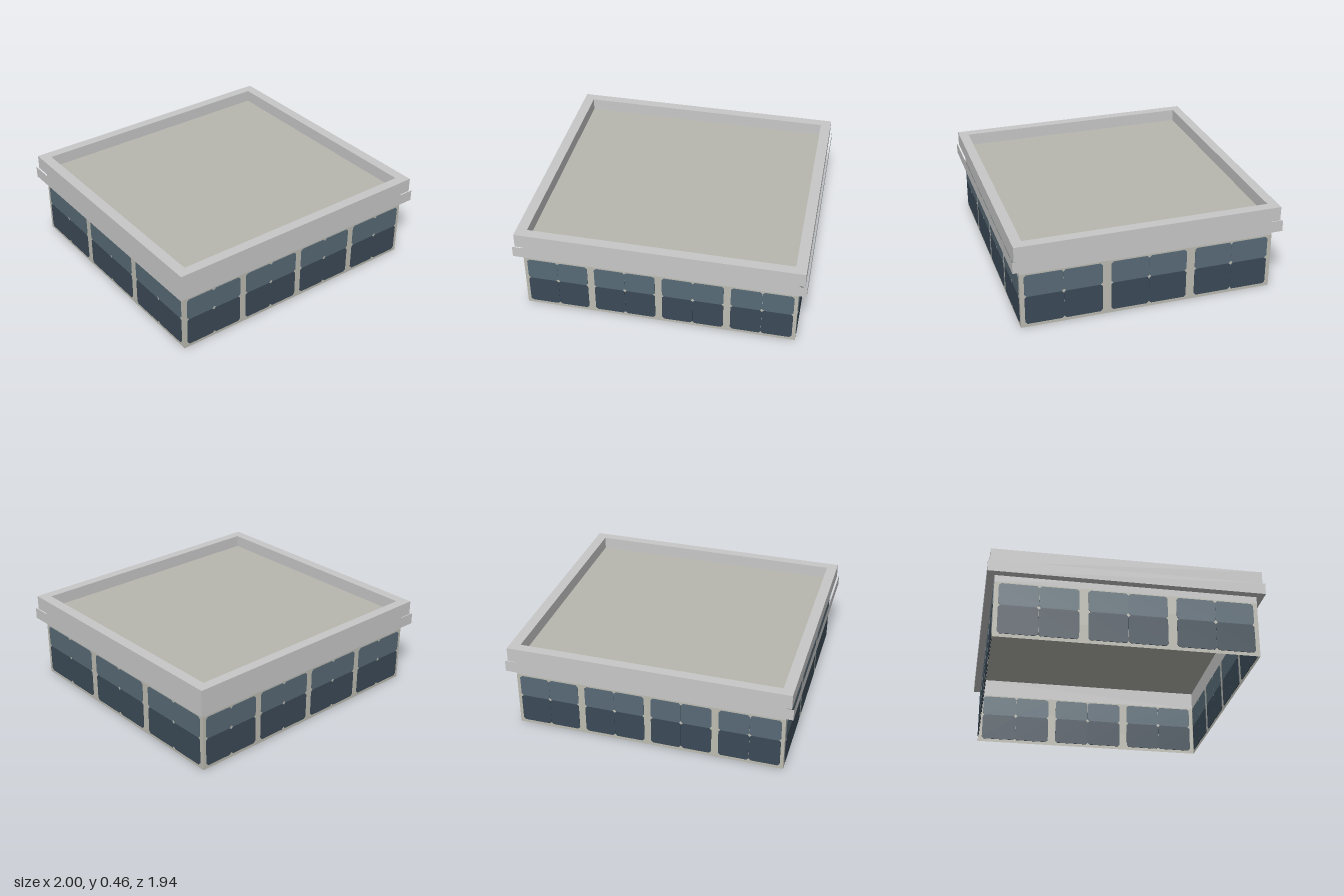
import * as THREE from 'three';

const mat = (name, color, side = THREE.FrontSide) => {
  const m = new THREE.MeshStandardMaterial({ color, side });
  m.name = name;
  return m;
};

// Slightly skewed footprint of the parapet, anticlockwise from above, as [x, z]
const CORNERS = [[-0.26, 0.958], [0.985, 0.2], [0.26, -0.958], [-0.985, -0.2]];
const WALL = 0.96, CORNICE = 1.015, INNER = 0.925; // footprint scales

export function createModel() {
  const concrete = mat('concrete', 0xc8c8c8);
  const concreteWall = mat('concrete wall', 0xc8c8c8, THREE.DoubleSide);
  const frame = mat('window frame', 0xbcbcb2, THREE.DoubleSide);
  const roofing = mat('roofing', 0xb8b8b0, THREE.DoubleSide);
  const upperGlass = mat('upper glass', 0x586a76);
  const lowerGlass = mat('lower glass', 0x3b4a57);

  const building = new THREE.Group();
  building.name = 'building';

  const add = (parent, name, geometry, material) => {
    const mesh = new THREE.Mesh(geometry, material);
    mesh.name = name;
    parent.add(mesh);
    return mesh;
  };

  const flat = (points) => {
    const g = new THREE.BufferGeometry();
    g.setAttribute('position', new THREE.Float32BufferAttribute(points.flat(), 3));
    g.computeVertexNormals();
    return g;
  };

  const at = (i, scale, y) => {
    const [x, z] = CORNERS[i % 4];
    return [x * scale, y, z * scale];
  };

  // Four-sided strips that follow a profile of [scale, height] points
  const band = (name, profile, material) => {
    const pts = [];
    for (let k = 0; k < profile.length - 1; k++) {
      for (let i = 0; i < 4; i++) {
        const a = at(i, ...profile[k]), b = at(i + 1, ...profile[k]);
        const c = at(i + 1, ...profile[k + 1]), d = at(i, ...profile[k + 1]);
        pts.push(a, b, c, a, c, d);
      }
    }
    add(building, name, flat(pts), material);
  };

  // Walls, cornice with soffit, and hollow parapet
  band('windowWall', [[WALL, 0], [WALL, 0.295]], frame);
  band('upperWall', [[WALL, 0.295], [WALL, 0.395]], concreteWall);
  band('cornice', [[WALL, 0.33], [CORNICE, 0.33], [CORNICE, 0.39]], concrete);
  band('parapet', [[1, 0.385], [1, 0.46], [INNER, 0.46], [INNER, 0.395]], concrete);

  // Flat roof
  const r = [0, 1, 2, 3].map((i) => at(i, WALL, 0.395));
  add(building, 'roof', flat([r[0], r[1], r[2], r[0], r[2], r[3]]), roofing);

  // Thin pane with clipped corners
  const pane = (w, h) => {
    const c = 0.011, x = w / 2, y = h / 2;
    const shape = new THREE.Shape([
      [-x + c, -y], [x - c, -y], [x, -y + c], [x, y - c],
      [x - c, y], [-x + c, y], [-x, y - c], [-x, -y + c],
    ].map((p) => new THREE.Vector2(...p)));
    return new THREE.ExtrudeGeometry(shape, { depth: 0.006, bevelEnabled: false })
      .translate(0, 0, -0.003);
  };

  // Windows: four on the long walls, three on the short ones, each of 2 x 2 panes
  const bottom = 0.018, split = 0.17, top = 0.287;
  for (let side = 0; side < 4; side++) {
    const [ax, , az] = at(side, WALL, 0), [bx, , bz] = at(side + 1, WALL, 0);
    const length = Math.hypot(bx - ax, bz - az);
    const count = side % 2 === 0 ? 4 : 3;
    const pitch = length / count, half = pitch * 0.45;

    const windows = new THREE.Group();
    windows.name = ['front', 'left', 'back', 'right'][side] + 'Windows';
    windows.position.set((ax + bx) / 2, 0, (az + bz) / 2);
    windows.rotation.y = Math.atan2(az - bz, bx - ax);
    building.add(windows);

    const lower = pane(half - 0.001, split - bottom);
    const upper = pane(half - 0.001, top - split);
    for (let n = 0; n < count; n++) {
      for (const s of [-0.5, 0.5]) {
        const x = (n + 0.5) * pitch - length / 2 + s * half;
        add(windows, 'lowerPane', lower, lowerGlass).position.set(x, (bottom + split) / 2, 0);
        add(windows, 'upperPane', upper, upperGlass).position.set(x, (split + top) / 2, 0);
      }
    }
  }
  return building;
}
